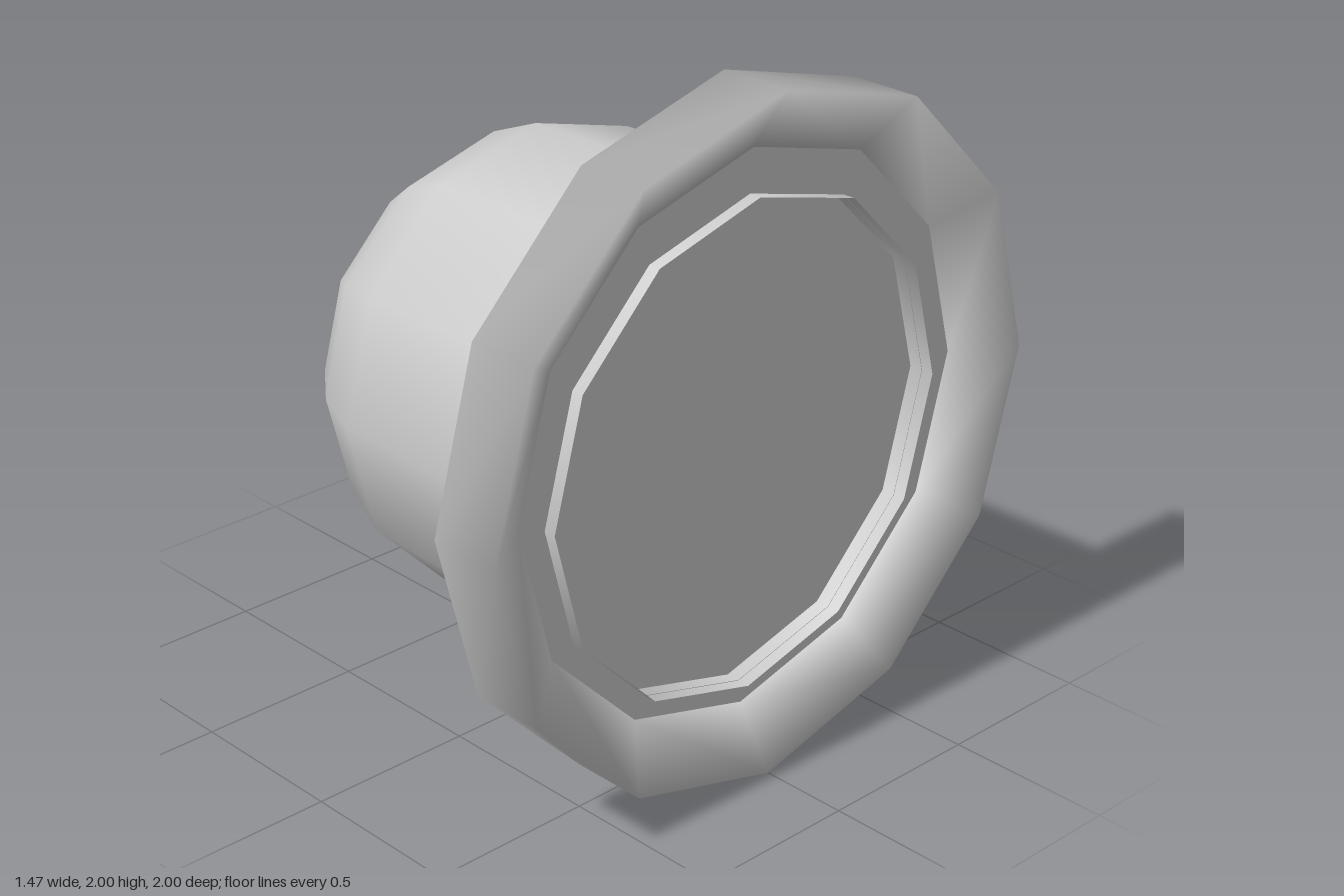
import * as THREE from 'three';
import { toCreasedNormals } from 'three/addons/utils/BufferGeometryUtils.js';

const SIDES = 12;

// Twelve-sided turned part lying along x; profile points are [x, radius].
function turned(name, profile, y, z, crease = 0.8) {
  const points = profile.map(([x, r]) => new THREE.Vector2(r, x));
  const geometry = new THREE.LatheGeometry(points, SIDES);
  geometry.rotateZ(-Math.PI / 2);
  const material = new THREE.MeshStandardMaterial({ color: 0xcccccc, side: THREE.DoubleSide });
  const mesh = new THREE.Mesh(toCreasedNormals(geometry, crease), material);
  mesh.name = name;
  mesh.position.set(0, y, z);
  return mesh;
}

export function createModel() {
  const model = new THREE.Group();
  model.name = 'flangedDome';

  // Parts sharing the body's axis, which sits slightly below the flange's
  const body = new THREE.Group();
  body.name = 'body';
  body.position.set(0, 0.973, 0.01);
  model.add(body);

  // Rounded shell, open towards the flange
  body.add(turned('dome', [
    [-0.735, 0], [-0.713, 0.19], [-0.64, 0.365], [-0.53, 0.51],
    [-0.375, 0.63], [-0.2, 0.7], [0.51, 0.72], [0.66, 0.722],
  ], 0, 0));

  // Recessed plate closing the shell just inside its rim
  body.add(turned('plate', [[0.58, 0.72], [0.58, 0]], 0, 0));

  // Thin web joining the shell to the flange
  body.add(turned('web', [[0.622, 0.72], [0.622, 0.85]], 0, 0));

  // Flange ring with a triangular section, smooth all round
  model.add(turned('flange', [
    [0.622, 0.82], [0.51, 1], [0.735, 1], [0.622, 0.82],
  ], 1, 0, 3));

  return model;
}
